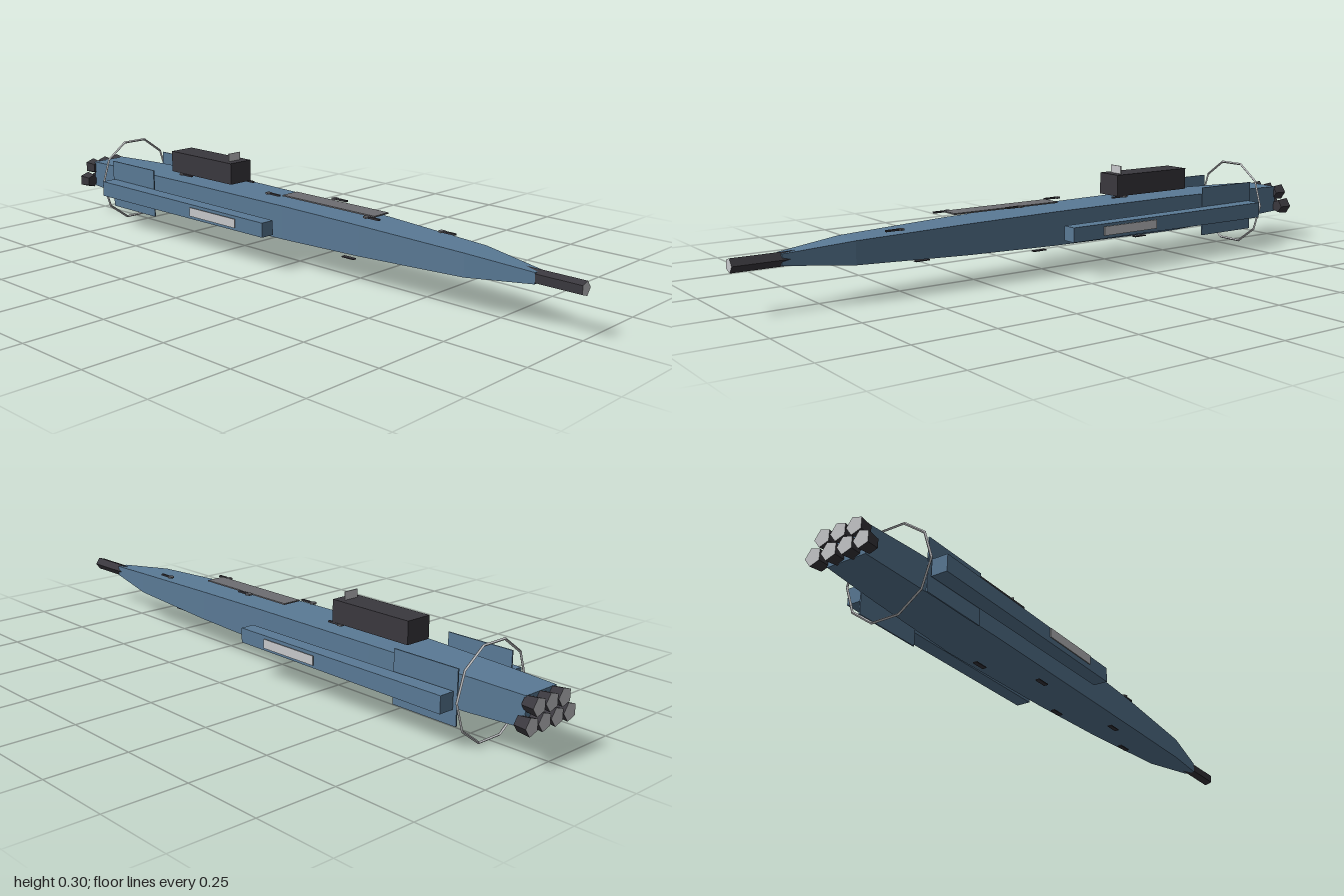
import * as THREE from 'three';

const mat = (name, color) => {
  const m = new THREE.MeshStandardMaterial({ color, flatShading: true });
  m.name = name;
  return m;
};

// Rectangular loft along z; each section is [z, halfWidth, yLow, yHigh], front first
function loft(sections) {
  const pos = [];
  const ring = ([z, w, lo, hi]) => [[w, lo, z], [w, hi, z], [-w, hi, z], [-w, lo, z]];
  const quad = (a, b, c, d) => pos.push(...a, ...b, ...c, ...a, ...c, ...d);
  const rings = sections.map(ring);
  for (let i = 0; i < rings.length - 1; i++) {
    const f = rings[i], r = rings[i + 1];
    for (let k = 0; k < 4; k++) {
      const n = (k + 1) % 4;
      quad(f[k], r[k], r[n], f[n]);
    }
  }
  const a = rings[0], b = rings[rings.length - 1];
  quad(a[0], a[1], a[2], a[3]);
  quad(b[3], b[2], b[1], b[0]);
  const g = new THREE.BufferGeometry();
  g.setAttribute('position', new THREE.Float32BufferAttribute(pos, 3));
  g.computeVertexNormals();
  return g;
}

export function createModel() {
  const root = new THREE.Group();
  root.name = 'spaceship';
  const blue = mat('hullBlue', 0x5a7a96);
  const dark = mat('darkMetal', 0x3a383e);
  const grey = mat('panelGrey', 0x6e6e72);
  const light = mat('lightGrey', 0xc8c9cc);

  const add = (name, geo, material, x = 0, y = 0, z = 0, parent = root) => {
    const m = new THREE.Mesh(geo, material);
    m.name = name;
    m.position.set(x, y, z);
    parent.add(m);
    return m;
  };
  const box = (name, material, w, h, d, x, y, z, parent) =>
    add(name, new THREE.BoxGeometry(w, h, d), material, x, y, z, parent);
  // Five-sided tube lying along z, one corner towards +x
  const tube = (front, rear, length) =>
    new THREE.CylinderGeometry(front, rear, length, 5, 1, false, Math.PI / 2).rotateX(Math.PI / 2);

  // Long tapered hull
  add('hull', loft([
    [0.86, 0.017, 0.122, 0.154],
    [0.66, 0.051, 0.104, 0.172],
    [0.3, 0.069, 0.092, 0.184],
    [0.0, 0.078, 0.086, 0.19],
    [-0.45, 0.085, 0.083, 0.193],
    [-0.8, 0.071, 0.09, 0.186],
    [-0.965, 0.062, 0.095, 0.181],
  ]), blue);

  // Nose gun
  add('noseBarrel', tube(0.021, 0.021, 0.21), [dark, light, dark], 0, 0.138, 0.895);

  // Engine cluster: three above, four below
  const nozzle = tube(0.022, 0.027, 0.04);
  for (const [count, y] of [[3, 0.16], [4, 0.114]]) {
    for (let i = 0; i < count; i++) {
      add('engineNozzle', nozzle, [dark, dark, light], (i - (count - 1) / 2) * 0.052, y, -0.98);
    }
  }

  // Ten-sided hoop around the stern
  add('sternRing', new THREE.TorusGeometry(0.1395, 0.004, 4, 10), light, 0, 0.1365, -0.812);

  // Side pods, their light plates and the upright fins
  for (const s of [-1, 1]) {
    const pod = loft([[0, 0.0225, 0.1075, 0.1525], [-0.78, 0.025, 0.105, 0.155]]);
    add('sidePod', pod, blue, s * 0.14);
    box('podPlate', light, 0.003, 0.028, 0.21, s * 0.171, 0.132, -0.215);
    box('sternFin', blue, 0.004, 0.158, 0.22, s * 0.11, 0.138, -0.68);
  }

  // Deck housing with a small upright plate
  box('deckHousing', dark, 0.086, 0.068, 0.29, 0, 0.241, -0.41);
  box('signalPlate', light, 0.048, 0.026, 0.004, 0, 0.287, -0.295);

  // Deck panel
  box('deckPanel', grey, 0.062, 0.004, 0.37, -0.004, 0.208, 0.145);

  // Small deck fittings: five-sided head and a stalk running forward
  const head = new THREE.CylinderGeometry(0.011, 0.011, 0.005, 5);
  const fittings = [
    [-0.045, 0.205, -0.5], [-0.045, 0.209, -0.09], [-0.045, 0.206, 0.31],
    [0.04, 0.205, -0.295], [0.04, 0.211, 0.11], [0.04, 0.186, 0.515],
  ];
  for (const [x, y, z] of fittings) {
    const g = new THREE.Group();
    g.name = 'deckFitting';
    g.position.set(x, y, z);
    root.add(g);
    add('fittingHead', head, grey, 0, 0, 0, g);
    box('fittingStalk', dark, 0.008, 0.005, 0.045, 0, 0, 0.025, g);
  }

  // Thin plates along the belly, alternating sides
  [0.45, 0.24, 0.04, -0.17, -0.36].forEach((z, i) => {
    box('bellyPlate', dark, 0.014, 0.003, 0.046, i % 2 ? -0.042 : 0.042, i ? 0.07 : 0.09, z);
  });

  return root;
}
